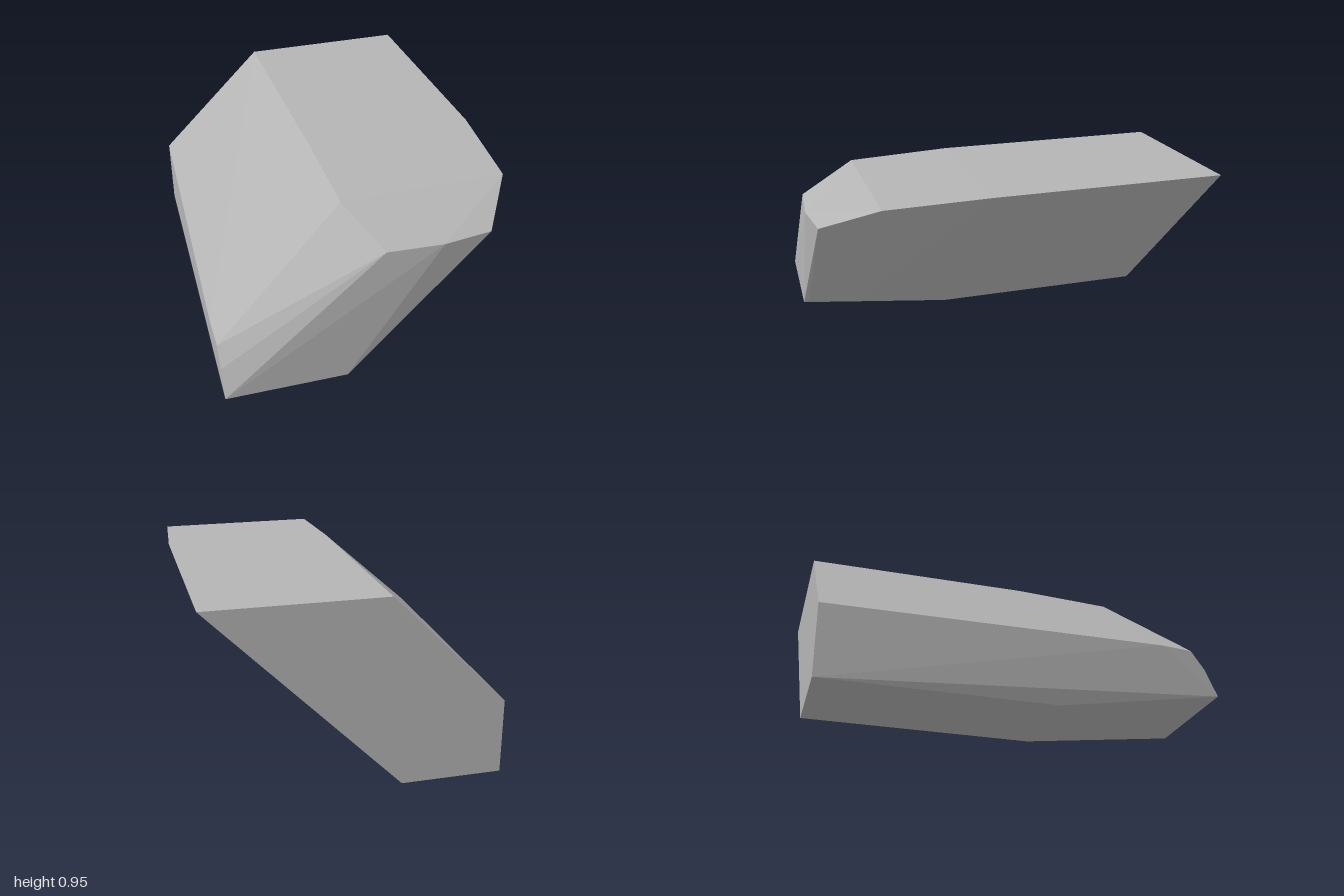
import * as THREE from 'three';
import { ConvexGeometry } from 'three/addons/geometries/ConvexGeometry.js';

// Slanted faceted block: a five-sided section swept along z, with a bevelled, slightly bulging nose.
export function createModel() {
  const group = new THREE.Group();
  const grey = new THREE.MeshStandardMaterial({ color: 0xb4b4b4 });
  grey.name = 'grey';

  const corners = [
    // flat rear section
    [0.77, 0.95, -1], [-0.11, 0.95, -1], [-0.69, 0.38, -1], [-0.69, 0, -1], [-0.18, 0, -1],
    // end of the straight body
    [0.77, 0.95, 0.18], [-0.11, 0.95, 0.18], [-0.69, 0, 0.18], [-0.18, 0, 0.18],
    // shoulder where the nose bevel starts
    [0.73, 0.927, 0.7], [-0.11, 0.927, 0.7], [-0.77, 0.355, 0.7], [-0.77, 0.345, 0.86], [-0.08, 0.11, 0.7],
    // nose rim
    [-0.77, 0.25, 0.925], [0.02, 0.805, 0.98], [0.3, 0.805, 1], [0.55, 0.805, 0.97],
    [-0.1, 0.145, 0.975], [-0.16, 0.11, 1], [-0.77, 0.11, 0.985],
  ].map(([x, y, z]) => new THREE.Vector3(x, y, z));

  const block = new THREE.Mesh(new ConvexGeometry(corners), grey);
  block.name = 'slantedBlock';
  group.add(block);
  return group;
}
